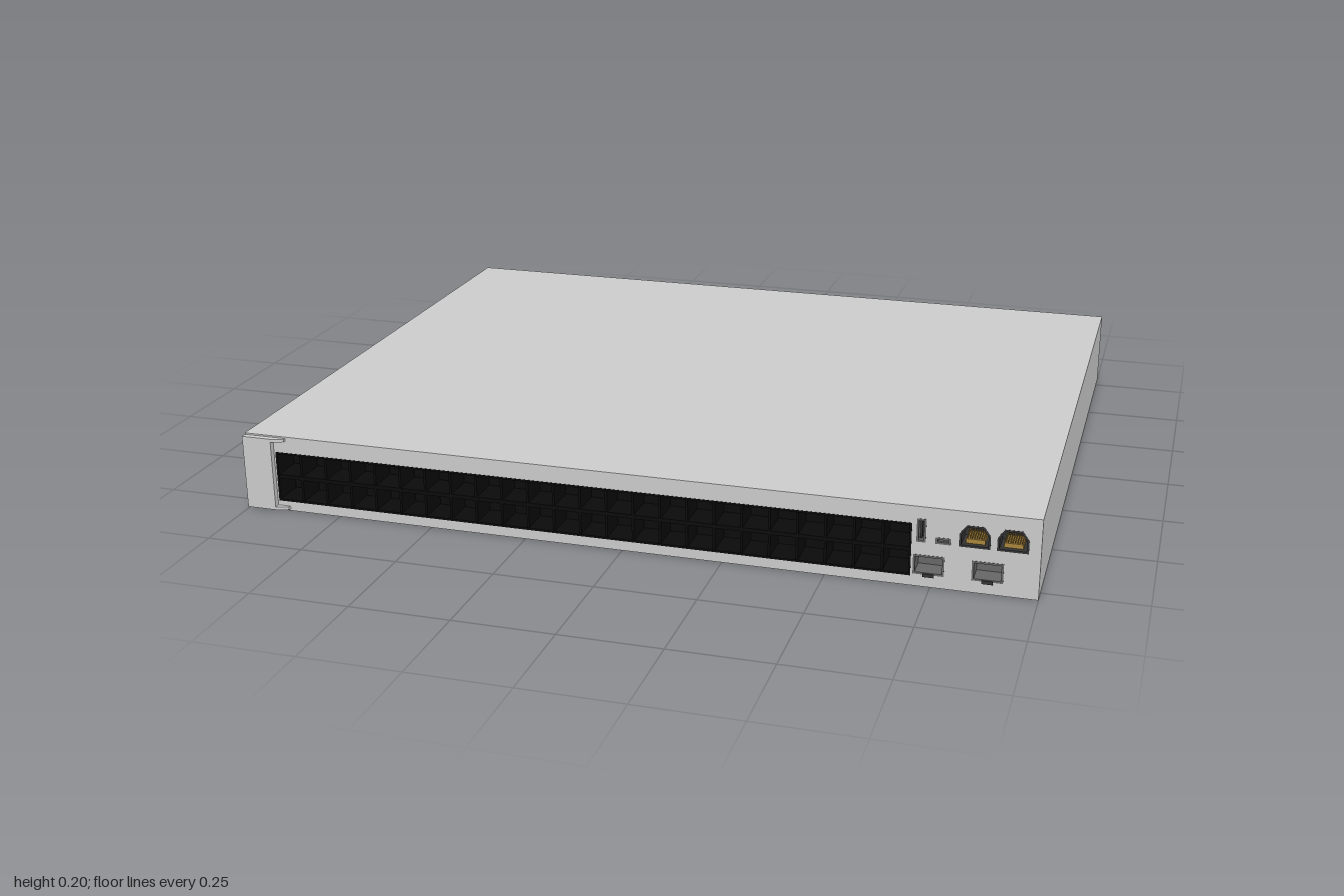
import * as THREE from 'three';
import { mergeGeometries } from 'three/addons/utils/BufferGeometryUtils.js';

const FRONT = 0.79, BACK = -0.805, H = 0.2;
const mat = (color) => new THREE.MeshStandardMaterial({ color, side: THREE.DoubleSide });
const shell = mat(0xcccccc), black = mat(0x0a0a0a), steel = mat(0x666666), dark = mat(0x333333), gold = mat(0xa8853c);

function add(parent, name, geometry, material, x = 0, y = 0, z = 0) {
  const mesh = new THREE.Mesh(geometry, material);
  mesh.name = name;
  mesh.position.set(x, y, z);
  parent.add(mesh);
  return mesh;
}

// Box given by its limits
function slab(parent, name, material, x0, x1, y0, y1, z0, z1) {
  return add(parent, name, new THREE.BoxGeometry(x1 - x0, y1 - y0, z1 - z0), material,
    (x0 + x1) / 2, (y0 + y1) / 2, (z0 + z1) / 2);
}

const toPoints = (list) => list.map(([x, y]) => new THREE.Vector2(x, y));
const rect = (x0, x1, y0, y1) => toPoints([[x0, y0], [x1, y0], [x1, y1], [x0, y1]]);

// Jack outline with chamfered upper corners
const jack = (x0, x1, y0, y1) => toPoints([[x0, y0], [x1, y0], [x1, y1 - 0.022],
  [x1 - 0.016, y1], [x0 + 0.016, y1], [x0, y1 - 0.022]]);

// Hollow socket: a rim extruded inwards, closed by a back plate
function socket(parent, name, outline, material, depth) {
  const group = new THREE.Group();
  group.name = name;
  const centre = new THREE.Box2().setFromPoints(outline);
  const c = centre.getCenter(new THREE.Vector2()), s = centre.getSize(new THREE.Vector2());
  const wall = 0.005;
  const inner = outline.map((p) => new THREE.Vector2(
    c.x + (p.x - c.x) * (1 - 2 * wall / s.x), c.y + (p.y - c.y) * (1 - 2 * wall / s.y)));
  const rim = new THREE.Shape(outline);
  rim.holes.push(new THREE.Path(inner));
  add(group, 'socketRim', new THREE.ExtrudeGeometry(rim, { depth, bevelEnabled: false }), material, 0, 0, FRONT - depth + 0.001);
  add(group, 'socketBack', new THREE.ShapeGeometry(new THREE.Shape(outline)), material, 0, 0, FRONT - depth);
  parent.add(group);
  return group;
}

export function createModel() {
  const model = new THREE.Group();
  model.name = 'rackSwitch';

  const bank = { x0: -0.918, x1: 0.703, y0: 0.025, y1: 0.157 };
  const bankOutline = rect(bank.x0, bank.x1, bank.y0, bank.y1);
  const usb = rect(0.714, 0.736, 0.112, 0.17);
  const mini = rect(0.758, 0.794, 0.112, 0.128);
  const jacks = [0.813, 0.9].map((x) => ({ x, outline: jack(x, x + 0.072, 0.112, 0.166) }));
  const cages = [0.708, 0.845].map((x) => ({ x, outline: rect(x, x + 0.073, 0.031, 0.08) }));

  // Chassis: box without its front face, closed by a panel with openings
  const box = new THREE.BoxGeometry(2, H, FRONT - BACK);
  const index = Array.from(box.index.array);
  index.splice(24, 6);
  box.setIndex(index);
  box.translate(0, H / 2, (FRONT + BACK) / 2);
  const panel = new THREE.Shape(rect(-1, 1, 0, H));
  for (const o of [bankOutline, usb, mini, ...jacks.map((j) => j.outline), ...cages.map((c) => c.outline)])
    panel.holes.push(new THREE.Path(o));
  const face = new THREE.ShapeGeometry(panel);
  face.translate(0, 0, FRONT);
  add(model, 'chassis', mergeGeometries([box, face]), shell);

  // Main bank: two rows of 24 black ports
  const ports = socket(model, 'portBank', bankOutline, black, 0.08);
  const columns = 24, pitch = (bank.x1 - bank.x0) / columns, mid = (bank.y0 + bank.y1) / 2;
  slab(ports, 'rowDivider', black, bank.x0, bank.x1, mid - 0.005, mid + 0.005, FRONT - 0.08, FRONT - 0.001);
  for (let i = 1; i < columns; i++) {
    const x = bank.x0 + i * pitch;
    slab(ports, 'portDivider', black, x - 0.003, x + 0.003, bank.y0, bank.y1, FRONT - 0.08, FRONT - 0.002);
  }

  // Upright service port with its tongue
  const service = socket(model, 'servicePort', usb, steel, 0.05);
  slab(service, 'tongue', dark, 0.722, 0.727, 0.12, 0.162, FRONT - 0.05, FRONT - 0.005);

  // Small console port
  const consolePort = socket(model, 'consolePort', mini, steel, 0.03);
  slab(consolePort, 'tongue', steel, 0.764, 0.788, 0.118, 0.122, FRONT - 0.03, FRONT - 0.003);

  // Management jacks with gold contacts
  for (const { x, outline } of jacks) {
    const group = socket(model, 'managementJack', outline, dark, 0.06);
    slab(group, 'contactBed', gold, x + 0.014, x + 0.058, 0.117, 0.128, FRONT - 0.06, FRONT - 0.012);
    for (let i = 0; i < 8; i++) {
      const cx = x + 0.0175 + i * 0.0053;
      slab(group, 'contact', gold, cx - 0.001, cx + 0.001, 0.128, 0.134, FRONT - 0.06, FRONT - 0.014);
    }
  }

  // Uplink cages with a latch tab below
  for (const { x, outline } of cages) {
    const group = socket(model, 'uplinkCage', outline, steel, 0.05);
    slab(group, 'latchTab', dark, x + 0.024, x + 0.05, 0.026, 0.034, FRONT - 0.01, FRONT + 0.004);
  }

  // Raised end cap at the model's right, with tapered tabs at top and bottom
  const cap = new THREE.Group();
  cap.name = 'endCap';
  model.add(cap);
  slab(cap, 'capPlate', shell, -1, -0.922, 0.004, 0.196, FRONT, 0.805);
  const taper = new THREE.Shape(toPoints([[-0.922, -0.805], [-0.91, -0.803], [-0.89, -0.795], [-0.888, -FRONT], [-0.922, -FRONT]]));
  for (const y of [0.004, 0.188]) {
    const geometry = new THREE.ExtrudeGeometry(taper, { depth: 0.008, bevelEnabled: false });
    geometry.rotateX(-Math.PI / 2);
    add(cap, 'capTab', geometry, shell, 0, y, 0);
  }
  return model;
}
